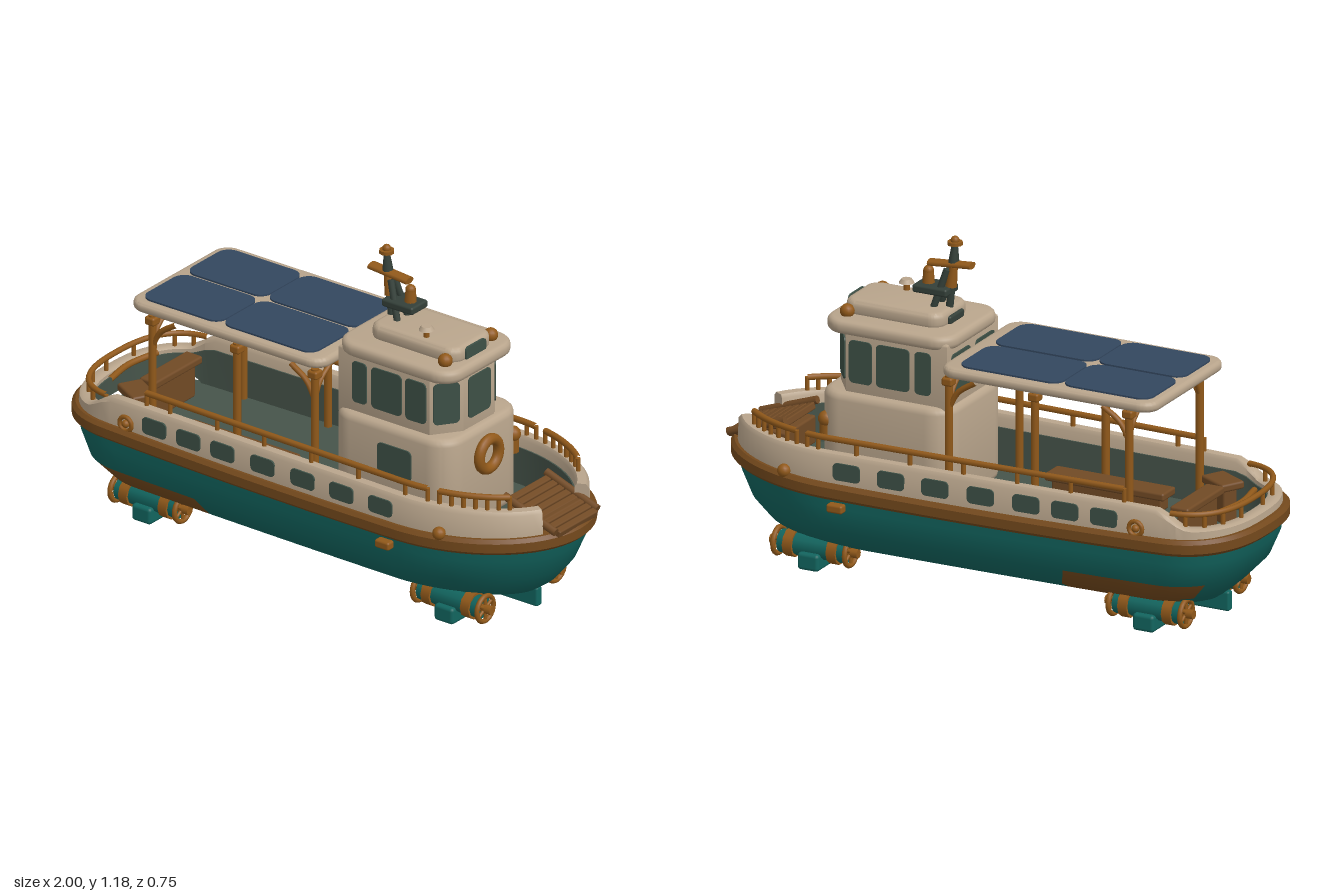
import * as THREE from 'three';
import { toCreasedNormals } from 'three/addons/utils/BufferGeometryUtils.js';
import { RoundedBoxGeometry } from 'three/addons/geometries/RoundedBoxGeometry.js';

const paint = (name, color) => Object.assign(new THREE.MeshStandardMaterial({ color }), { name });
const M = {
  teal: paint('teal hull', 0x12655f), cream: paint('cream paint', 0xb9a58c), rail: paint('brown rub rail', 0x74491c),
  brass: paint('brass', 0x91591a), deck: paint('green deck', 0x46544a), glass: paint('dark glass', 0x3d5046),
  solar: paint('solar blue', 0x33475f), wood: paint('wood', 0x714a25), iron: paint('dark iron', 0x344039),
  lining: paint('canopy lining', 0x7a6b59),
};
const V = (x, y, z) => new THREE.Vector3(x, y, z);
const DECK = 0.285, { lerp, smoothstep } = THREE.MathUtils;

// Deck outline, running bow -> left side -> stern -> right side
const base = x => 0.325 + 0.02 * (x + 0.73), sheer = x => 0.018 * x * x;
function outline() {
  const half = [], quarter = (n, i) => i / n * Math.PI / 2;
  for (let i = 0; i <= 16; i++) half.push([0.5 + 0.488 * Math.cos(quarter(16, i)), base(0.5) * Math.sin(quarter(16, i))]);
  for (let x = 0.4; x > -0.69; x -= 0.1) half.push([x, base(x)]);
  for (let i = 0; i <= 14; i++) {
    const a = quarter(14, i);
    half.push([-0.73 - 0.258 * Math.sin(a) ** 0.8, base(-0.73) * Math.max(0, Math.cos(a)) ** 0.8]);
  }
  return half.concat(half.slice(1, -1).reverse().map(([x, z]) => [x, -z]));
}
const RING = outline();

// Outline moved sideways by d
const offset = d => RING.map(([x, z], i) => {
  const n = RING.length, p = RING[(i + n - 1) % n], q = RING[(i + 1) % n];
  const tx = q[0] - p[0], tz = q[1] - p[1], l = Math.hypot(tx, tz);
  return [x + d * tz / l, z - d * tx / l];
});

// Grid of rows -> geometry; pick(x, row) chooses the material group
function skin(rows, closed, pick) {
  const n = rows[0].length, sets = [[], []], g = new THREE.BufferGeometry();
  for (let j = 0; j < rows.length - 1; j++) for (let i = 0; i < (closed ? n : n - 1); i++) {
    const k = (i + 1) % n, a = j * n + i, b = j * n + k, c = a + n, d = b + n;
    sets[pick && pick(rows[j][i][0], rows[j][k][0], j) ? 1 : 0].push(a, b, c, b, d, c);
  }
  g.setAttribute('position', new THREE.Float32BufferAttribute(rows.flat(2), 3));
  g.setIndex(sets.flat());
  g.addGroup(0, sets[0].length, 0);
  g.addGroup(sets[0].length, sets[1].length, 1);
  g.computeVertexNormals();
  return g;
}

// Band with a closed section [offset, y] following the outline, with end caps where it is open
function band(section, keep, yAt) {
  const rows = section.map(([d, y]) => offset(d).map(([x, z], i) => [x, yAt(RING[i][0], y), z]).filter((_, i) => keep(RING[i])));
  const n = rows[0].length, open = n < RING.length;
  const g = skin([...rows, rows[0]], !open), idx = [...g.index.array];
  for (let k = 1; open && k < section.length - 1; k++)
    idx.push(0, k * n, (k + 1) * n, n - 1, (k + 2) * n - 1, (k + 1) * n - 1);
  g.setIndex(idx);
  g.clearGroups();
  return toCreasedNormals(g, 0.7);
}

function roundRect(w, h, r) {
  const s = new THREE.Shape(), a = w / 2 - r, b = h / 2 - r;
  [[a, b], [-a, b], [-a, -b], [a, -b]].forEach(([x, y], i) => s.absarc(x, y, r, i * Math.PI / 2, (i + 1) * Math.PI / 2));
  return s;
}
// Flat-lying extrusion of a plan from y up by h, with a soft edge
function slab(shape, y, h, bevel = 0) {
  const g = new THREE.ExtrudeGeometry(shape, { depth: h - 2 * bevel, bevelEnabled: bevel > 0, bevelSize: bevel,
    bevelThickness: bevel, bevelOffset: -bevel, bevelSegments: 3, curveSegments: 8 });
  return toCreasedNormals(g.rotateX(-Math.PI / 2).translate(0, y + bevel, 0), 0.6);
}
const planShape = pts => new THREE.Shape(pts.map(([x, z]) => new THREE.Vector2(x, -z)));

export function createModel() {
  const root = new THREE.Group();
  root.name = 'ferryBoat';
  const add = (name, geo, mat, x = 0, y = 0, z = 0, parent = root) => {
    const m = new THREE.Mesh(geo, mat);
    m.name = name; m.position.set(x, y, z); parent.add(m);
    return m;
  };
  const rod = (name, a, b, r, mat, r2 = r, parent = root) => {
    const d = b.clone().sub(a), m = add(name, new THREE.CylinderGeometry(r2, r, d.length(), 10), mat, 0, 0, 0, parent);
    m.position.copy(a).addScaledVector(d, 0.5);
    m.quaternion.setFromUnitVectors(V(0, 1, 0), d.normalize());
    return m;
  };
  const tube = (name, pts, r) =>
    add(name, new THREE.TubeGeometry(new THREE.CatmullRomCurve3(pts), pts.length * 4, r, 8), M.brass);
  const box = (name, w, h, d, mat, x, y, z, r = 0.008, parent = root) =>
    add(name, new RoundedBoxGeometry(w, h, d, 2, r), mat, x, y, z, parent);
  const ball = (name, r, x, y, z) => add(name, new THREE.SphereGeometry(r, 14, 10), M.brass, x, y, z);
  const pane = (name, w, h, x, y, z, turn) => {
    const g = new THREE.ExtrudeGeometry(roundRect(w, h, 0.016), { depth: 0.008, bevelEnabled: false });
    add(name, g.translate(0, 0, -0.003), M.glass, x, y, z).rotation.y = turn;
  };

  // Hull: outline shrunk level by level; brown worn patch low at the stern
  const levels = [[0.34, -0.98, 0.98, 0.975], [0.27, -0.972, 0.965, 0.965], [0.19, -0.935, 0.925, 0.935],
    [0.125, -0.87, 0.87, 0.79], [0.09, -0.83, 0.82, 0.58], [0.07, -0.8, 0.77, 0.3], [0.06, -0.75, 0.7, 0.001]];
  const hull = levels.map(([y, x0, x1, s]) => RING.map(([x, z]) => {
    const px = x0 + (x + 0.988) / 1.976 * (x1 - x0);
    return [px, y + sheer(px) * y / 0.34, z * s];
  }));
  const worn = (a, b, j) => (j === 2 || j === 3) && Math.max(a, b) < -0.34 && Math.min(a, b) > (j === 2 ? -0.89 : -0.79);
  add('hull', skin(hull, true, worn), [M.teal, M.rail]);
  box('keel', 1.68, 0.07, 0.03, M.teal, -0.01, 0.065, 0);
  add('deck', slab(planShape(offset(-0.05)), DECK - 0.02, 0.02), M.deck);
  add('rubRail', band([[0, 0.36], [0.012, 0.348], [0.012, 0.316], [0, 0.304], [-0.04, 0.304], [-0.04, 0.36]],
    () => true, (x, y) => y + sheer(x)), M.rail);

  // Bulwark, low at the stern, open at the bow for the ramp, with a green inner lining
  const wallTop = x => 0.405 + 0.058 * smoothstep(x, -0.86, -0.72);
  const wallY = (x, t) => lerp(0.35 + sheer(x) * 0.6, wallTop(x), t), besideRamp = ([x, z]) => !(x > 0.5 && Math.abs(z) < 0.13);
  add('bulwark', band([[-0.024, 1], [-0.014, 0.88], [-0.01, 0], [-0.062, 0], [-0.062, 0.88], [-0.054, 1]], besideRamp, wallY), M.cream);
  add('bulwarkLining', band([[-0.058, 0.6], [-0.058, -0.9], [-0.067, -0.9], [-0.067, 0.6]], besideRamp, wallY), M.deck);
  for (const s of [1, -1]) {
    for (const x of [-0.54, -0.395, -0.25, -0.08, 0.09, 0.255, 0.42])
      pane('bulwarkWindow', 0.1, 0.06, x, 0.408, s * (base(x) - 0.0125), s > 0 ? -0.02 : Math.PI + 0.02);
    add('portholeRing', new THREE.TorusGeometry(0.025, 0.008, 8, 18), M.brass, -0.66, 0.39, s * 0.318);
    ball('portholeHub', 0.014, -0.66, 0.39, s * 0.318);
    box('sideFender', 0.06, 0.03, 0.035, M.brass, 0.45, 0.285, s * 0.355);
    ball('bowLamp', 0.023, 0.66, 0.375, s * 0.33);
    // Handrails: a long side run and a denser bow run
    const line = offset(-0.045).filter(([x, z]) => z * s > 0.18 && x > -0.66);
    for (const [name, run, step] of [['side', line.filter(([x]) => x < 0.63), 2], ['bow', line.filter(([x]) => x > 0.63), 1]]) {
      tube(name + 'Handrail', run.map(([x, z]) => V(x, 0.508, z)), 0.011);
      run.filter((_, i) => i % step === 0 || i === run.length - 1)
        .forEach(([x, z]) => rod(name + 'RailPost', V(x, 0.45, z), V(x, 0.51, z), 0.008, M.brass));
    }
  }
  const sternLine = offset(-0.045).filter(([x]) => x < -0.76);
  tube('sternHandrail', sternLine.map(([x, z]) => V(x, 0.45, z)), 0.01);
  sternLine.filter((_, i) => i % 3 === 0).forEach(([x, z]) => rod('sternRailPost', V(x, 0.39, z), V(x, 0.45, z), 0.008, M.brass));
  tube('sternGrabBar', [V(-0.87, 0.42, -0.13), V(-0.89, 0.42, 0), V(-0.87, 0.42, 0.13)], 0.011);

  // Bow ramp of planks, and benches
  for (let i = 0; i < 8; i++)
    box('rampPlank', 0.026, 0.025, 0.21, M.wood, 0.785 + i * 0.028, 0.445 - i * 0.009, 0, 0.005).rotation.z = -0.3;
  box('rampBase', 0.16, 0.1, 0.21, M.wood, 0.85, 0.365, 0);
  for (const s of [1, -1]) rod('rampStringer', V(0.77, 0.465, s * 0.115), V(0.985, 0.39, s * 0.115), 0.014, M.wood);
  for (const [name, w, d, x, y, z, turn] of [['sternBench', 0.07, 0.26, -0.75, 0.42, -0.05, 0],
    ['sternSeat', 0.13, 0.09, -0.74, 0.42, 0.15, -0.5], ['deckBench', 0.45, 0.09, -0.32, 0.345, 0.14, 0]]) {
    box(name, w, 0.028, d, M.wood, x, y, z).rotation.y = turn;
    box(name + 'Foot', w - 0.035, y - DECK, d - 0.035, M.wood, x, (y + DECK) / 2, z).rotation.y = turn;
  }

  // Canopy with solar panels
  add('canopyRoof', slab(roundRect(0.81, 0.54, 0.06), 0.782, 0.036, 0.014), M.cream, -0.295, 0, -0.008);
  add('canopyLining', slab(roundRect(0.74, 0.47, 0.04), 0.776, 0.008), M.lining, -0.295, 0, -0.008);
  for (const x of [-0.503, -0.14]) for (const z of [-0.13, 0.114])
    add('solarPanel', slab(roundRect(x < -0.3 ? 0.33 : 0.385, 0.23, 0.045), 0.815, 0.009), M.solar, x, 0, z);
  for (const s of [1, -1]) {
    for (const x of [-0.6, -0.245, 0.08]) {
      rod('canopyPost', V(x, DECK, s * 0.25), V(x, 0.785, s * 0.25), 0.014, M.brass);
      box('postCollar', 0.04, 0.03, 0.04, M.brass, x, 0.765, s * 0.25);
    }
    for (const [x, d] of [[-0.6, 1], [0.08, -1]]) {
      tube('canopyBrace', [V(x, 0.67, s * 0.25), V(x + d * 0.035, 0.73, s * 0.25), V(x + d * 0.1, 0.775, s * 0.25)], 0.01);
      tube('crossBrace', [V(x, 0.67, s * 0.25), V(x, 0.73, s * 0.22), V(x, 0.775, s * 0.16)], 0.009);
    }
  }

  // Wheelhouse: lower cabin, window storey, roof
  add('lowerCabin', slab(roundRect(0.5, 0.425, 0.09), DECK, 0.35, 0.025), M.cream, 0.355);
  const storey = [[0.575, 0.085], [0.505, 0.18], [0.125, 0.18], [0.125, -0.18], [0.505, -0.18], [0.575, -0.085]];
  add('upperCabin', slab(planShape(storey), 0.61, 0.25, 0.01), M.cream);
  add('cabinRoof', slab(roundRect(0.49, 0.39, 0.08), 0.835, 0.048, 0.018), M.cream, 0.355);
  add('roofHatch', slab(roundRect(0.37, 0.22, 0.05), 0.87, 0.06, 0.02), M.cream, 0.375);
  pane('roofHatchWindow', 0.11, 0.05, 0.56, 0.9, 0, Math.PI / 2);
  pane('frontWindow', 0.12, 0.15, 0.575, 0.745, 0, Math.PI / 2);
  for (const s of [1, -1]) {
    const slant = Math.atan2(0.095, 0.07);
    for (const [x, w] of [[0.215, 0.06], [0.328, 0.125], [0.45, 0.085]])
      pane('sideWindow', w, 0.15, x, 0.745, s * 0.18, s > 0 ? 0 : Math.PI);
    pane('cornerWindow', 0.092, 0.15, 0.54, 0.745, s * 0.1325, s > 0 ? slant : Math.PI - slant);
    pane('rearWindow', 0.13, 0.14, 0.125, 0.745, s * 0.085, -Math.PI / 2);
    ball('roofLamp', 0.025, 0.53, 0.897, s * 0.125);
  }
  pane('lowerCabinWindow', 0.14, 0.11, 0.385, 0.515, 0.2125, 0);
  rod('cabinBollard', V(0.58, 0.46, -0.18), V(0.58, 0.52, -0.18), 0.022, M.brass);
  ball('cabinBollardCap', 0.028, 0.58, 0.525, -0.18);
  add('lifebuoy', new THREE.TorusGeometry(0.053, 0.019, 12, 28), M.brass, 0.618, 0.53, 0).rotation.y = Math.PI / 2;

  // Mast, radar and roof fittings
  for (const s of [1, -1]) rod('mastLeg', V(0.27, 0.88, s * 0.035), V(0.215, 1.06, s * 0.01), 0.012, M.iron);
  rod('mastFrontLeg', V(0.215, 0.88, 0), V(0.195, 1.08, 0), 0.013, M.iron);
  box('mastFoot', 0.14, 0.03, 0.1, M.iron, 0.25, 0.895, 0);
  box('mastPlatform', 0.13, 0.028, 0.09, M.iron, 0.265, 0.985, 0);
  rod('mastLight', V(0.29, 0.99, 0), V(0.29, 1.04, 0), 0.022, M.brass, 0.018);
  ball('mastLightCap', 0.018, 0.29, 1.042, 0);
  rod('mastColumn', V(0.205, 1.0, 0), V(0.195, 1.07, 0), 0.02, M.brass, 0.014);
  rod('radarBar', V(0.125, 1.085, 0), V(0.285, 1.072, 0), 0.012, M.brass).scale.z = 1.9;
  rod('mastTop', V(0.195, 1.08, 0), V(0.19, 1.16, 0), 0.02, M.iron, 0.009);
  rod('mastCap', V(0.19, 1.149, 0), V(0.19, 1.161, 0), 0.026, M.brass);
  ball('mastFinial', 0.015, 0.19, 1.165, 0);
  rod('roofVentStem', V(0.41, 0.92, 0.07), V(0.41, 0.96, 0.07), 0.011, M.brass);
  rod('roofVentCap', V(0.41, 0.955, 0.07), V(0.41, 0.969, 0.07), 0.027, M.cream, 0.018);

  // Four thruster pods with propeller hoops
  for (const x of [-0.65, 0.615]) for (const s of [1, -1]) {
    const pod = new THREE.Group();
    pod.name = 'thrusterPod'; pod.position.set(x, 0.072, s * 0.195); root.add(pod);
    rod('podBody', V(-0.125, 0, 0), V(0.125, 0, 0), 0.04, M.teal, 0.04, pod);
    box('podPylon', 0.14, 0.1, 0.03, M.teal, 0, 0.05, -s * 0.01, 0.008, pod);
    box('podFin', 0.08, 0.06, 0.2, M.teal, 0, -0.042, -s * 0.045, 0.012, pod);
    for (const e of [1, -1]) {
      rod('podCollar', V(e * 0.065, 0, 0), V(e * 0.1, 0, 0), 0.048, M.brass, 0.048, pod);
      rod('propellerHub', V(e * 0.11, 0, 0), V(e * 0.165, 0, 0), 0.016, M.brass, 0.016, pod);
      add('propellerHoop', new THREE.TorusGeometry(0.045, 0.009, 8, 22), M.brass, e * 0.135, 0, 0, pod).rotation.y = Math.PI / 2;
      for (let i = 0; i < 3; i++) {
        const a = i * Math.PI / 3, c = 0.045 * Math.cos(a), d = 0.045 * Math.sin(a);
        rod('propellerSpoke', V(e * 0.135, c, d), V(e * 0.135, -c, -d), 0.006, M.brass, 0.006, pod);
      }
    }
  }
  return root;
}
